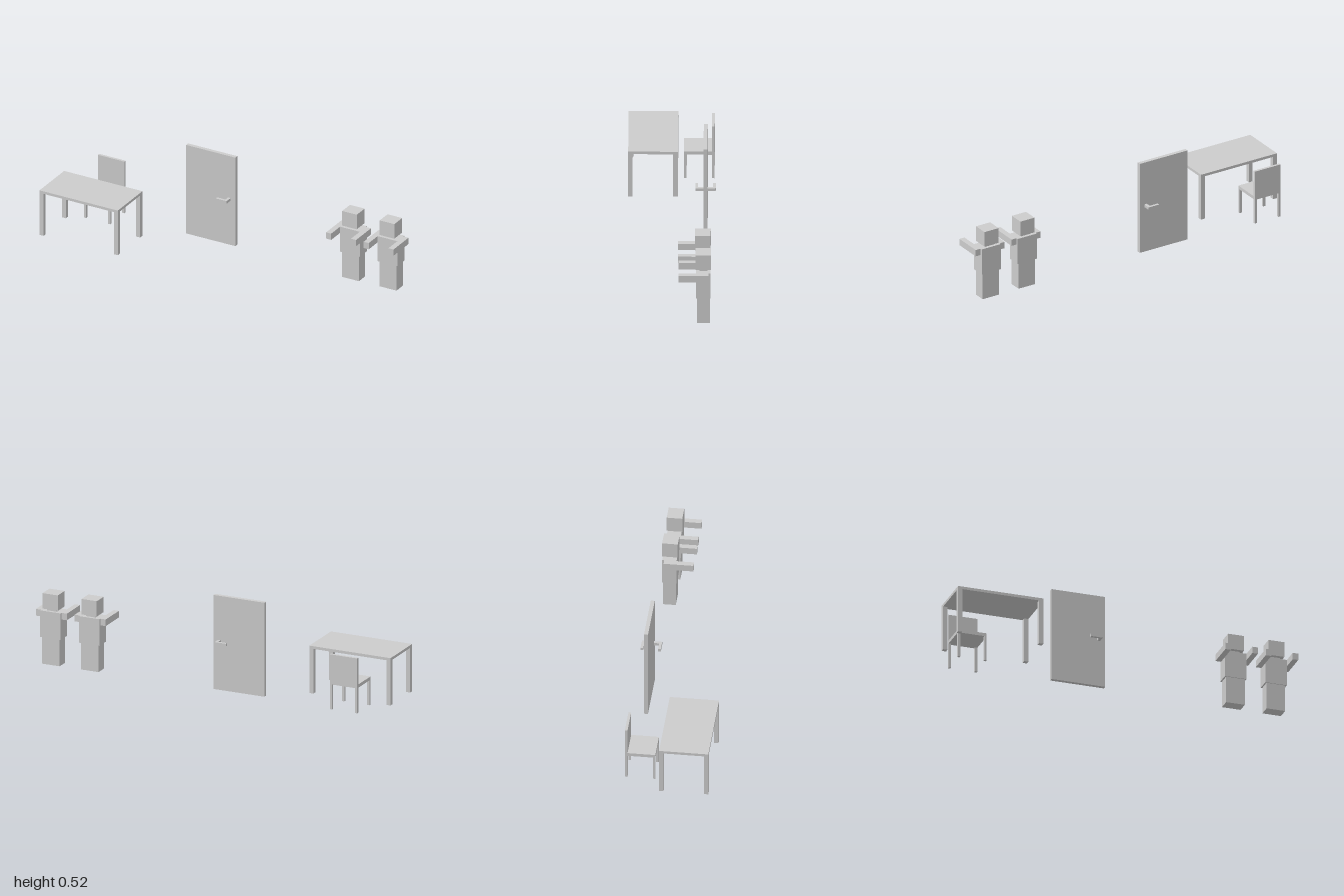
import * as THREE from 'three';

const material = new THREE.MeshStandardMaterial({ color: 0xcccccc, flatShading: true });

// Box given by its lower and upper limit on each axis
function box(parent, name, [x0, x1], [y0, y1], [z0, z1]) {
  const mesh = new THREE.Mesh(new THREE.BoxGeometry(x1 - x0, y1 - y0, z1 - z0), material);
  mesh.position.set((x0 + x1) / 2, (y0 + y1) / 2, (z0 + z1) / 2);
  mesh.name = name;
  parent.add(mesh);
}

function group(parent, name) {
  const g = new THREE.Group();
  g.name = name;
  parent.add(g);
  return g;
}

// Four square legs at the corners of a rectangle
function legs(parent, name, [x0, x1], height, [z0, z1], w) {
  for (const x of [x0, x1 - w])
    for (const z of [z0, z1 - w]) box(parent, name, [x, x + w], [0, height], [z, z + w]);
}

function addTable(parent) {
  const table = group(parent, 'table');
  const x = [-1, -0.523], z = [-0.029, 0.233];
  box(table, 'tableTop', x, [0.249, 0.264], z);
  legs(table, 'tableLeg', x, 0.249, z, 0.024);
}

function addChair(parent) {
  const chair = group(parent, 'chair');
  const x = [-0.898, -0.737], z = [-0.223, -0.061];
  box(chair, 'seat', x, [0.139, 0.157], z);
  box(chair, 'backrest', x, [0.157, 0.306], [-0.223, -0.209]);
  legs(chair, 'chairLeg', x, 0.139, z, 0.0135);
}

function addDoor(parent) {
  const door = group(parent, 'door');
  box(door, 'doorPanel', [-0.337, -0.037], [0, 0.524], [-0.189, -0.168]);
  // A lever on each face: stem plus grip
  const y = [0.263, 0.278], mid = -0.1785;
  for (const s of [-1, 1]) {
    const span = (a, b) => [mid + s * a, mid + s * b].sort((p, q) => p - q);
    box(door, 'handleStem', [-0.081, -0.065], y, span(0.0105, 0.039));
    box(door, 'handleGrip', [-0.131, -0.065], y, span(0.039, 0.054));
  }
}

// Blocky person with both arms stretched forward
function addPerson(parent, x, z) {
  const person = group(parent, 'person');
  box(person, 'legBlock', [-0.052, 0.052], [0, 0.149], [-0.034, 0.033]);
  box(person, 'torso', [-0.06, 0.06], [0.149, 0.297], [-0.038, 0.038]);
  box(person, 'neck', [-0.028, 0.028], [0.297, 0.31], [-0.021, 0.021]);
  box(person, 'head', [-0.0445, 0.0445], [0.31, 0.396], [-0.0405, 0.0425]);
  box(person, 'rightArm', [-0.091, -0.06], [0.26, 0.297], [-0.027, 0.132]);
  box(person, 'leftArm', [0.06, 0.091], [0.26, 0.297], [-0.027, 0.132]);
  person.position.set(x, 0, z);
}

export function createModel() {
  const model = new THREE.Group();
  model.name = 'roomSet';
  addTable(model);
  addChair(model);
  addDoor(model);
  addPerson(model, 0.682, -0.17);
  addPerson(model, 0.909, -0.173);
  return model;
}
